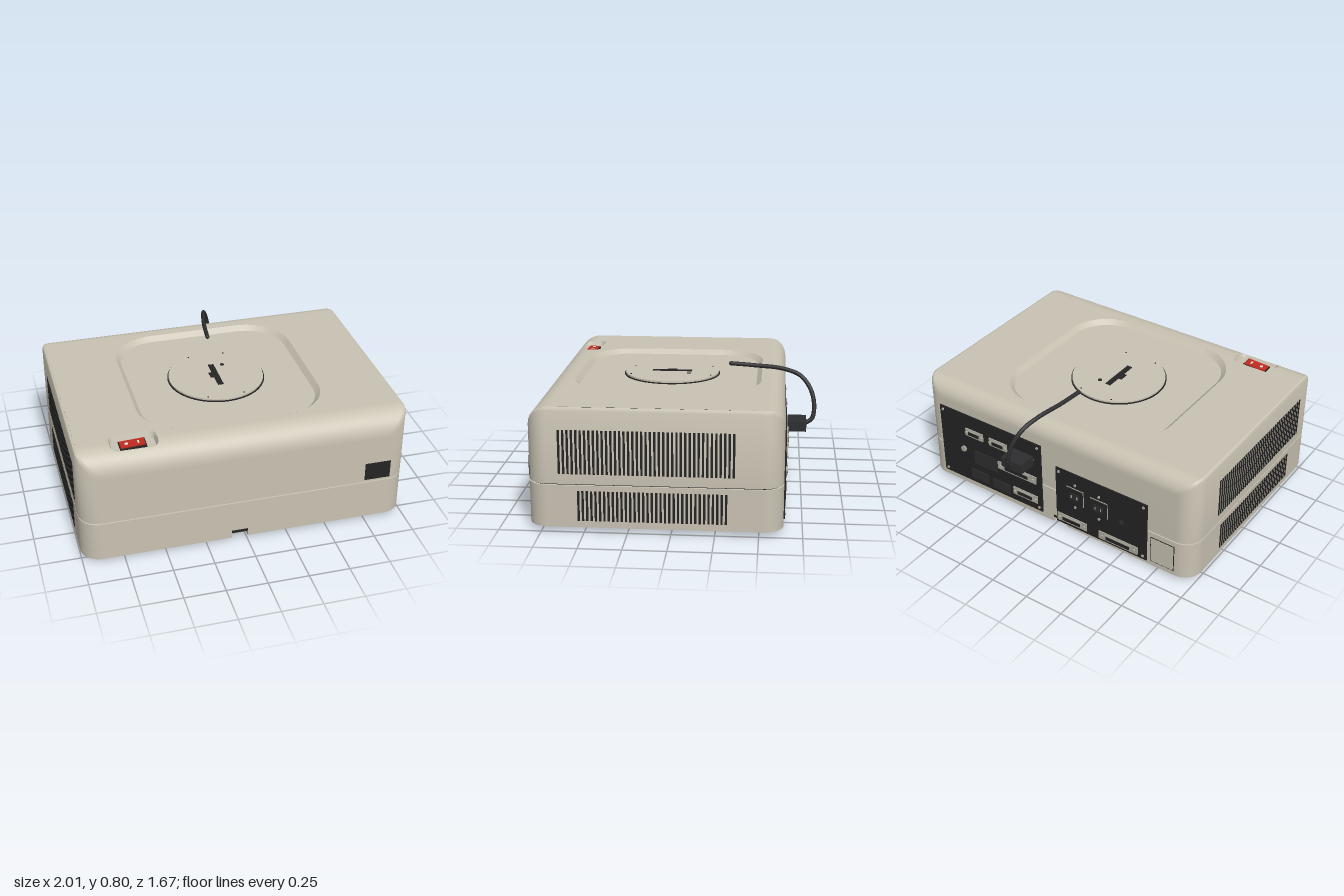
import * as THREE from 'three';
import { mergeGeometries, toCreasedNormals } from 'three/addons/utils/BufferGeometryUtils.js';

const mat = (name, color, side = THREE.FrontSide) => {
  const m = new THREE.MeshStandardMaterial({ color, side });
  m.name = name;
  return m;
};

// Rounded rectangles in plan: centre, half sizes, corner radius
const BODY = { cx: 0, cz: 0.095, hx: 1, hz: 0.735, r: 0.12 };
const DISH = { cx: 0, cz: 0.08, hx: 0.57, hz: 0.57, r: 0.28 };
const WELL = { cx: -0.65, cz: 0.69, hx: 0.14, hz: 0.07, r: 0.04 };
const N = 12;
const inset = (o, d) => ({ ...o, hx: o.hx - d, hz: o.hz - d, r: o.r - d });

// Outline points [x, z], running from +x towards +z
function outline({ cx, cz, hx, hz, r }) {
  const pts = [];
  [[1, 1], [-1, 1], [-1, -1], [1, -1]].forEach(([sx, sz], q) => {
    for (let k = 0; k <= N; k++) {
      const a = (q + k / N) * Math.PI / 2;
      pts.push([cx + sx * (hx - r) + r * Math.cos(a), cz + sz * (hz - r) + r * Math.sin(a)]);
    }
  });
  return pts;
}

// Half width of a rounded rectangle at depth z
function halfWidth({ cz, hx, hz, r }, z) {
  const d = Math.min(r, Math.abs(z - cz) - (hz - r));
  return d > 0 ? hx - r + Math.sqrt(r * r - d * d) : hx;
}

// Height of the lid, rounded at front and back
function lidY(z) {
  const arc = (r, d) => 0.74 - r + Math.sqrt(Math.max(0, r * r - d * d));
  if (z > 0.69) return arc(0.14, z - 0.69);
  if (z < -0.54) return arc(0.1, z + 0.54);
  return 0.74;
}

function fromPositions(p) {
  const g = new THREE.BufferGeometry();
  g.setAttribute('position', new THREE.Float32BufferAttribute(p, 3));
  return toCreasedNormals(g, 0.6);
}

// Skin between successive closed rings of points
function loft(rings) {
  const p = [];
  for (let j = 0; j + 1 < rings.length; j++) {
    const a = rings[j], b = rings[j + 1], n = a.length;
    for (let i = 0; i < n; i++) {
      const k = (i + 1) % n;
      p.push(...a[i], ...b[i], ...b[k], ...a[i], ...b[k], ...a[k]);
    }
  }
  return fromPositions(p);
}

// Lid surface swept front to back in strips, leaving the dish and switch well open
function lidGeometry(edge) {
  const zs = [0.69, -0.54];
  for (const o of [BODY, DISH, WELL])
    for (let k = 0; k <= N; k++) {
      const d = o.hz - o.r + o.r * Math.sin(k / N * Math.PI / 2);
      zs.push(o.cz + d, o.cz - d);
    }
  zs.sort((a, b) => a - b);
  const rows = zs.filter((z, i) => i === 0 || z - zs[i - 1] > 1e-6);
  const p = [];
  for (let i = 0; i + 1 < rows.length; i++) {
    const a = rows[i], b = rows[i + 1], mid = (a + b) / 2;
    const gap = (o, z) => Math.abs(mid - o.cz) < o.hz ? halfWidth(o, z) : 0;
    const cuts = z => {
      const w = halfWidth(BODY, z) - edge, s = gap(WELL, z), d = gap(DISH, z);
      return [-w, WELL.cx - s, WELL.cx + s, -d, d, w];
    };
    const ca = cuts(a), cb = cuts(b), ya = lidY(a), yb = lidY(b);
    for (let k = 0; k < 6; k += 2) {
      const A = [ca[k], ya, a], B = [cb[k], yb, b], C = [cb[k + 1], yb, b], D = [ca[k + 1], ya, a];
      p.push(...A, ...B, ...C, ...A, ...C, ...D);
    }
  }
  return fromPositions(p);
}

// Horizontal slab from a plan outline
function slab(pts, y0, y1) {
  const shape = new THREE.Shape(pts.map(([x, z]) => new THREE.Vector2(x, -z)));
  const g = new THREE.ExtrudeGeometry(shape, { depth: y1 - y0, bevelEnabled: false });
  return toCreasedNormals(g.rotateX(-Math.PI / 2).translate(0, y0, 0), 0.6);
}

export function createModel() {
  const shell = mat('beige shell', 0xc8c2b2, THREE.DoubleSide);
  const dark = mat('charcoal', 0x242424);
  const cableMat = mat('cable black', 0x2e2e30);
  const metal = mat('connector metal', 0xaaa79c);
  const red = mat('switch red', 0xc02a20);
  const white = mat('mark white', 0xe8e4dc);
  const model = new THREE.Group();

  const add = (name, geo, m, parent = model) => {
    const mesh = new THREE.Mesh(geo, m);
    mesh.name = name;
    parent.add(mesh);
    return mesh;
  };
  const box = (name, m, w, h, d, x, y, z, parent) =>
    add(name, new THREE.BoxGeometry(w, h, d).translate(x, y, z), m, parent);
  const post = (name, m, r, len, x, y, z, parent) =>
    add(name, new THREE.CylinderGeometry(r, r, len, 16).rotateX(Math.PI / 2).translate(x, y, z), m, parent);
  const ring = (o, y) => outline(o).map(([x, z]) => [x, typeof y === 'function' ? y(z) : y, z]);

  // Upper shell: walls with softened side edges, and the lid
  const plan = outline(BODY);
  const wallRing = (d, drop) => plan.map(([x, z]) => [x - Math.sign(x) * d, lidY(z) - drop, z]);
  add('upperWalls', loft([ring(BODY, 0.29), wallRing(0, 0.02), wallRing(0.006, 0.006), wallRing(0.02, 0)]), shell);
  add('lid', lidGeometry(0.02), shell);

  // Dish in the lid with a round turntable plate
  const dishFloor = inset(DISH, 0.03);
  add('dishWall', loft([ring(DISH, 0.74), ring(dishFloor, 0.71)]), shell);
  add('dishFloor', slab(outline(dishFloor), 0.7, 0.71), shell);
  add('discGap', new THREE.CylinderGeometry(0.302, 0.302, 0.006, 64).translate(0, 0.713, 0.08), dark);
  add('disc', new THREE.CylinderGeometry(0.295, 0.295, 0.016, 64).translate(0, 0.718, 0.08), shell);
  box('discSlot', dark, 0.036, 0.004, 0.25, 0, 0.727, 0.08);
  box('discSlotTab', dark, 0.025, 0.004, 0.06, -0.027, 0.727, 0.08);
  add('discHole', new THREE.CylinderGeometry(0.013, 0.013, 0.004, 16).translate(0.07, 0.727, -0.03), dark);
  for (const sx of [-1, 1]) for (const sz of [-1, 1])
    add('discDot', new THREE.CylinderGeometry(0.005, 0.005, 0.003, 8).translate(sx * 0.113, 0.727, 0.08 + sz * 0.25), dark);

  // Switch well and rocker
  const wellFloor = inset(WELL, 0.012);
  add('wellWall', loft([ring(WELL, lidY), ring(wellFloor, 0.705)]), shell);
  add('wellFloor', slab(outline(wellFloor), 0.695, 0.705), shell);
  const rocker = new THREE.Group();
  rocker.name = 'rockerSwitch';
  rocker.position.set(-0.655, 0.712, 0.69);
  rocker.rotation.z = 0.05;
  model.add(rocker);
  box('switchFrame', dark, 0.156, 0.014, 0.08, 0, -0.003, 0, rocker);
  box('rockerKey', red, 0.144, 0.016, 0.068, 0, 0.002, 0, rocker);
  box('onMark', white, 0.01, 0.002, 0.026, 0.035, 0.011, 0, rocker);
  add('offMark', new THREE.CylinderGeometry(0.011, 0.011, 0.002, 16).translate(-0.035, 0.011, 0), white, rocker);

  // Lower shell with a cable channel underneath, and the dark seam
  add('seam', slab(outline(inset(BODY, 0.014)), 0.27, 0.3), dark);
  add('lowerShell', slab(plan, 0.07, 0.282), shell);
  add('baseLeft', slab(plan.map(([x, z]) => [Math.max(x, 0), z]), 0.03, 0.07), shell);
  add('baseRight', slab(plan.map(([x, z]) => [Math.min(x, -0.1), z]), 0.03, 0.07), shell);
  box('channelStrip', dark, 0.1, 0.018, 1.472, -0.05, 0.073, 0.095);
  for (const x of [-0.85, 0.85]) for (const z of [0.705, -0.495])
    add('foot', new THREE.CylinderGeometry(0.056, 0.048, 0.032, 32).translate(x, 0.016, z), dark);

  // Front badge plate
  box('frontPlate', dark, 0.16, 0.115, 0.008, 0.81, 0.362, 0.83);

  // Side vents
  const vents = (name, count, zMax, y0, y1) => {
    const slots = [];
    for (const x of [-1, 1]) for (let i = 0; i < count; i++)
      slots.push(new THREE.BoxGeometry(0.006, y1 - y0, 0.013).translate(x, (y0 + y1) / 2, zMax - 0.0065 - i * 0.0248));
    add(name, mergeGeometries(slots), dark);
  };
  vents('upperVents', 41, 0.643, 0.35, 0.61);
  vents('lowerVents', 35, 0.536, 0.07, 0.25);

  // Back panels with corner screws
  const B = -0.648;
  const panel = (name, x0, x1, y0, y1) => {
    box(name, dark, x1 - x0, y1 - y0, 0.009, (x0 + x1) / 2, (y0 + y1) / 2, -0.6435);
    for (const x of [x0 + 0.025, x1 - 0.025]) for (const y of [y0 + 0.025, y1 - 0.025])
      post('panelScrew', metal, 0.009, 0.008, x, y, B - 0.002);
  };
  panel('portPanel', 0.08, 0.875, 0.07, 0.58);
  panel('powerPanel', -0.69, -0.03, 0.055, 0.475);

  // Multi-pin connectors
  const connector = (x, y, w, h) => {
    const g = new THREE.Group();
    g.name = 'connector';
    g.position.set(x, y, B);
    model.add(g);
    box('connectorPlate', metal, w, h, 0.008, 0, 0, -0.003, g);
    box('connectorShell', metal, w * 0.66, h * 0.72, 0.016, 0, 0, -0.005, g);
    box('connectorPins', dark, w * 0.6, h * 0.45, 0.004, 0, 0, -0.0125, g);
    for (const s of [-1, 1]) post('connectorScrew', metal, 0.01, 0.02, s * w * 0.42, 0, -0.006, g);
  };
  [[0.6, 0.455, 0.14, 0.055], [0.41, 0.455, 0.14, 0.055], [0.27, 0.3, 0.3, 0.055], [0.21, 0.15, 0.19, 0.055],
    [-0.15, 0.105, 0.22, 0.055], [-0.49, 0.1, 0.28, 0.055]].forEach(c => connector(...c));

  // Blank covers and audio jack
  [[0.575, 0.14, 0.14, 0.07], [0.4, 0.135, 0.14, 0.07], [0.52, 0.28, 0.18, 0.1]].forEach(([x, y, w, h]) =>
    box('blankCover', cableMat, w, h, 0.008, x, y, B - 0.002));
  post('audioJack', metal, 0.02, 0.016, 0.695, 0.31, B - 0.004);

  // Mains sockets and knob
  for (const [x, y] of [[-0.175, 0.31], [-0.35, 0.3]]) {
    box('socketRim', metal, 0.126, 0.116, 0.004, x, y, B - 0.001);
    box('socketBody', dark, 0.116, 0.106, 0.014, x, y, B - 0.003);
    box('socketCore', cableMat, 0.07, 0.05, 0.016, x, y, B - 0.005);
    for (const s of [-1, 1]) {
      box('socketPin', metal, 0.008, 0.02, 0.004, x + s * 0.02, y, B - 0.013);
      post('socketScrew', metal, 0.009, 0.008, x, y + s * 0.085, B - 0.002);
    }
  }
  post('knob', dark, 0.022, 0.03, -0.51, 0.265, B - 0.012);

  // Access cover at the back corner
  box('accessCoverGap', dark, 0.165, 0.185, 0.004, -0.795, 0.155, -0.64);
  box('accessCover', shell, 0.155, 0.175, 0.008, -0.795, 0.155, -0.64);

  // Cable and plug
  box('plugSocket', metal, 0.14, 0.045, 0.02, 0.21, 0.455, -0.65);
  box('plug', cableMat, 0.155, 0.065, 0.115, 0.21, 0.455, -0.713);
  for (const x of [0.15, 0.27]) post('plugScrew', metal, 0.014, 0.03, x, 0.455, -0.648);
  const path = new THREE.CatmullRomCurve3([
    [0.045, 0.79, -0.295], [0.065, 0.784, -0.45], [0.1, 0.775, -0.62], [0.132, 0.74, -0.73],
    [0.165, 0.66, -0.795], [0.19, 0.56, -0.818], [0.205, 0.485, -0.805], [0.21, 0.455, -0.76],
  ].map(p => new THREE.Vector3(...p)));
  add('cable', new THREE.TubeGeometry(path, 60, 0.0135, 12), cableMat);
  add('cableEnd', new THREE.SphereGeometry(0.0135, 12, 8).translate(0.045, 0.79, -0.295), cableMat);

  return model;
}
